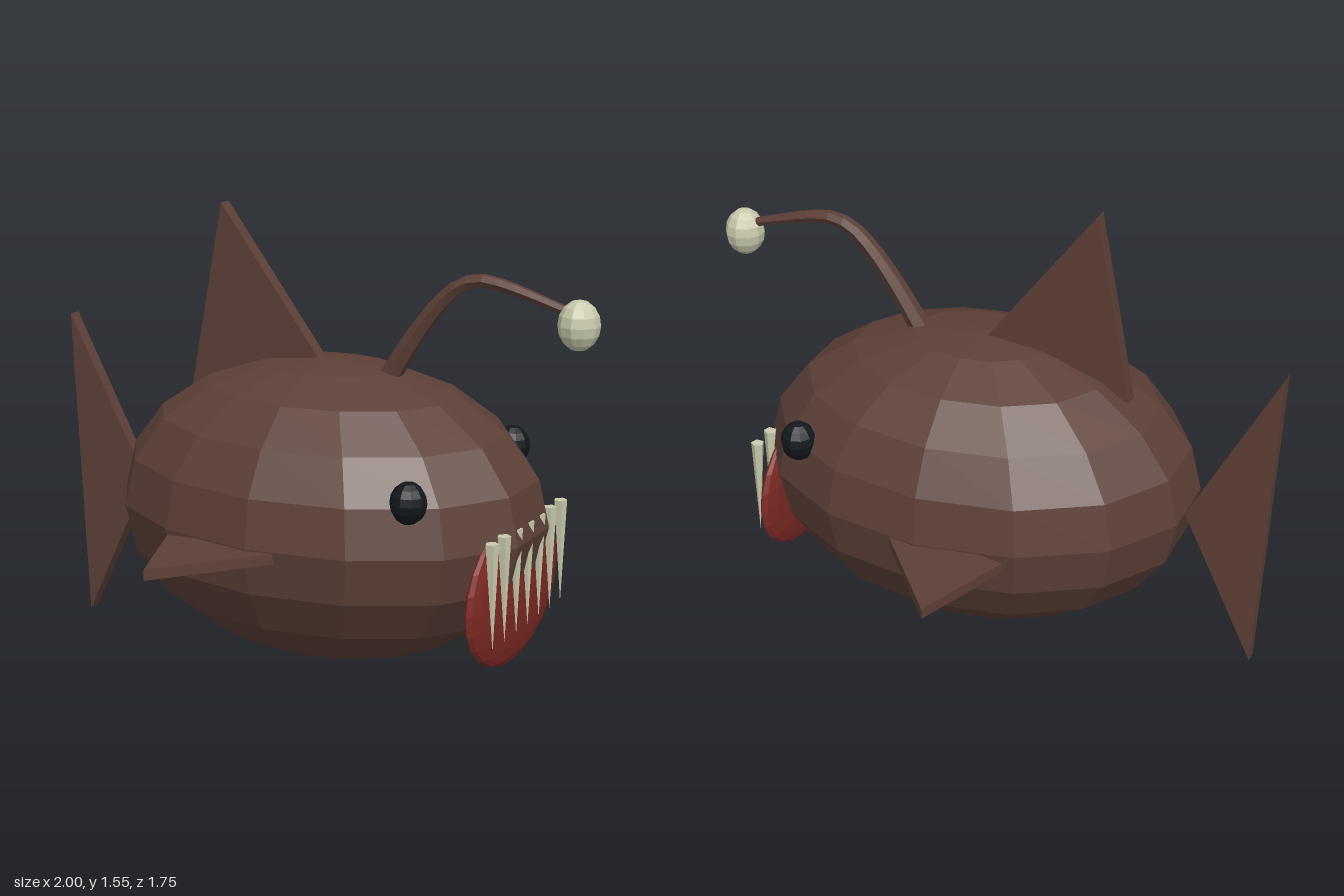
import * as THREE from 'three';

const mat = (color) => new THREE.MeshStandardMaterial({ color, flatShading: true });

export function createModel() {
  const fish = new THREE.Group();
  const brown = mat(0x5d4037), red = mat(0x7f2a25), black = mat(0x12181c), bone = mat(0xc8c9ac);

  const add = (name, geometry, material, x = 0, y = 0, z = 0) => {
    const mesh = new THREE.Mesh(geometry, material);
    mesh.name = name;
    mesh.position.set(x, y, z);
    fish.add(mesh);
    return mesh;
  };

  // Ellipsoid with its seam columns on the z axis
  const ellipsoid = (rx, ry, rz, w, h) =>
    new THREE.SphereGeometry(1, w, h).rotateY(Math.PI / 2).scale(rx, ry, rz);

  // Flat triangular plate centred on its thickness
  const plate = (points, depth) => {
    const shape = new THREE.Shape(points.map(([x, y]) => new THREE.Vector2(x, y)));
    return new THREE.ExtrudeGeometry(shape, { depth, bevelEnabled: false }).translate(0, 0, -depth / 2);
  };

  add('body', ellipsoid(0.77, 0.515, 0.565, 14, 10), brown, 0.05, 0.545);

  // Fins
  add('tailFin', plate([[-0.695, 0.53], [-1, 1.105], [-0.95, 0]], 0.046), brown);
  add('dorsalFin', plate([[0.02, 1.05], [-0.36, 1.55], [-0.485, 0.905]], 0.05), brown);
  for (const side of [1, -1]) {
    const points = [[-0.255, 0.545], [-0.125, 0.873], [0.215, 0.46]].map(([x, z]) => [x, -side * z]);
    add(side > 0 ? 'leftSideFin' : 'rightSideFin', plate(points, 0.036).rotateX(-Math.PI / 2), brown, 0, 0.522);
    add(side > 0 ? 'leftEye' : 'rightEye', ellipsoid(0.06, 0.069, 0.06, 10, 8), black, 0.545, 0.728, side * 0.395);
  }

  // Mouth disc and its row of fangs
  add('mouth', ellipsoid(0.044, 0.256, 0.355, 20, 12), red, 0.73, 0.366);
  for (let i = -3; i <= 3; i++) {
    const tooth = add('tooth', new THREE.ConeGeometry(0.023, 0.36, 5).rotateX(Math.PI), bone, 0.782, 0.418, i * 0.091);
    tooth.rotation.z = 0.03;
  }

  // Tapered lure stalk
  const path = new THREE.CatmullRomCurve3(
    [[0.25, 0.98], [0.36, 1.16], [0.45, 1.28], [0.52, 1.345], [0.59, 1.368], [0.68, 1.357], [0.92, 1.29]]
      .map(([x, y]) => new THREE.Vector3(x, y, 0)));
  const rings = 16, sides = 6;
  const stalk = new THREE.TubeGeometry(path, rings, 0.038, sides);
  const pos = stalk.attributes.position, v = new THREE.Vector3();
  for (let i = 0; i < pos.count; i++) {
    const t = Math.floor(i / (sides + 1)) / rings;
    const centre = path.getPointAt(t);
    v.fromBufferAttribute(pos, i).sub(centre).multiplyScalar(1 - 0.62 * t).add(centre);
    pos.setXYZ(i, v.x, v.y, v.z);
  }
  add('lureStalk', stalk, brown);
  add('lureBulb', ellipsoid(0.068, 0.082, 0.068, 10, 8), bone, 0.932, 1.258);

  return fish;
}
